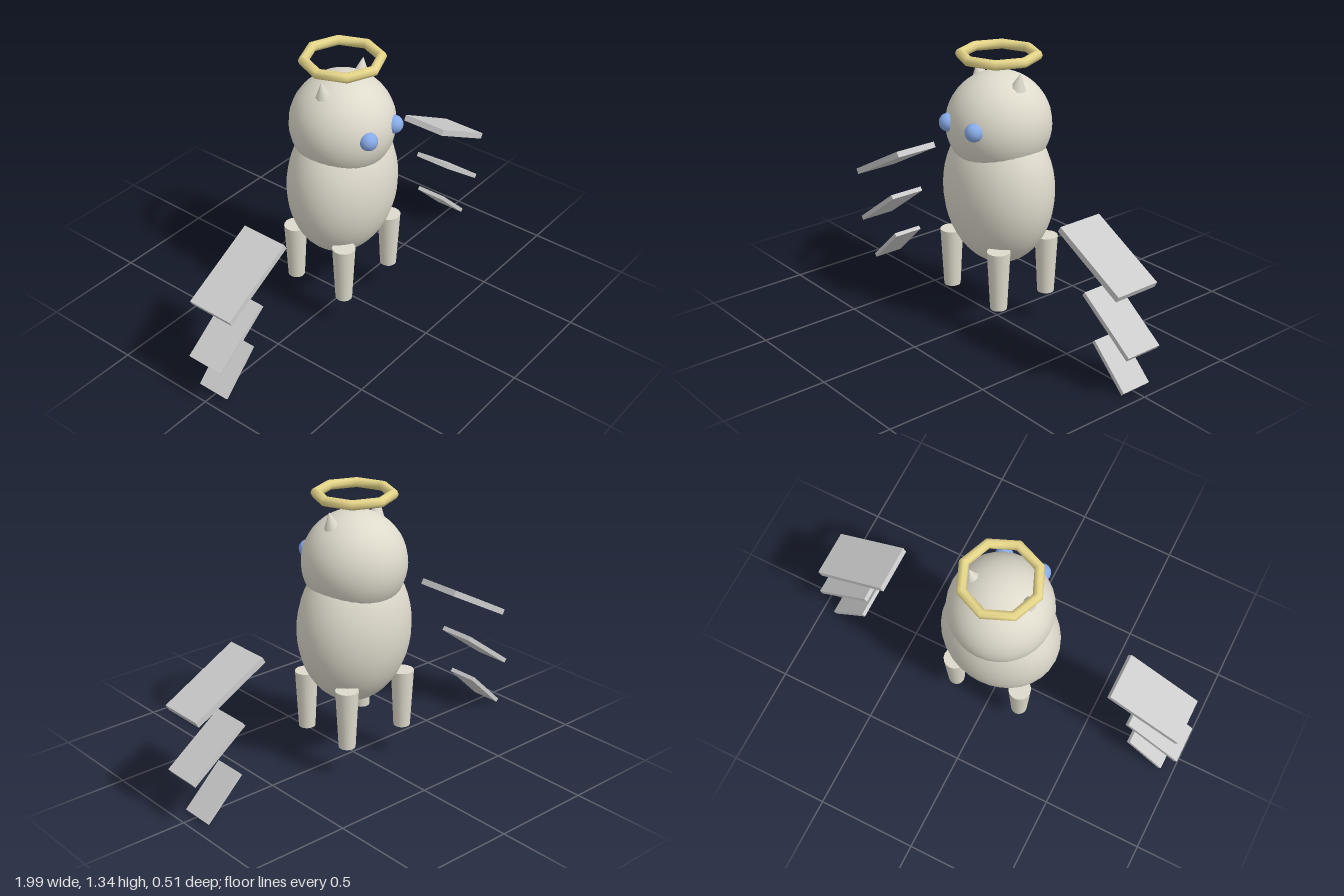
import * as THREE from 'three';

const mat = (color) => new THREE.MeshStandardMaterial({ color });

export function createModel() {
  const model = new THREE.Group();
  const fur = mat(0xdedacc), wingGrey = mat(0xcccccc);
  const blue = mat(0x88abe8), gold = mat(0xe6d68a);
  const Z = -0.01; // centre line of the animal

  const add = (name, geometry, material, x, y, z) => {
    const mesh = new THREE.Mesh(geometry, material);
    mesh.name = name;
    mesh.position.set(x, y, z);
    model.add(mesh);
    return mesh;
  };

  // egg-shaped body and round head
  add('body', new THREE.SphereGeometry(1, 32, 24), fur, 0, 0.675, Z).scale.set(0.29, 0.37, 0.243);
  add('head', new THREE.SphereGeometry(0.247, 32, 24), fur, 0, 0.995, Z);

  // halo: eight-sided ring
  add('halo', new THREE.TorusGeometry(0.175, 0.024, 8, 8), gold, 0, 1.32, Z).rotation.x = Math.PI / 2;

  const eyeGeo = new THREE.SphereGeometry(0.043, 16, 12);
  const earGeo = new THREE.ConeGeometry(0.038, 0.08, 8);
  const legGeo = new THREE.CylinderGeometry(0.055, 0.04, 0.29, 16);

  // feather slabs: x, y, z, length, thickness, width, droop in degrees
  const feathers = [
    [0.774, 0.602, 0.031, 0.415, 0.03, 0.23, 28.5],
    [0.85, 0.321, 0.011, 0.348, 0.023, 0.187, 36.5],
    [0.838, 0.1, -0.011, 0.264, 0.02, 0.157, 44],
  ];

  for (const [side, s] of [['left', 1], ['right', -1]]) {
    add(side + 'Eye', eyeGeo, blue, s * 0.094, 1.02, 0.212);

    // ears lean outward
    add(side + 'Ear', earGeo, fur, s * 0.142, 1.226, Z).rotation.z = -s * 0.22;

    // tapered legs
    add(side + 'FrontLeg', legGeo, fur, s * 0.175, 0.3, Z + 0.147);
    add(side + 'BackLeg', legGeo, fur, s * 0.175, 0.3, Z - 0.147);

    // floating wing of three drooping slabs
    feathers.forEach(([x, y, z, length, thick, width, droop], i) => {
      const slab = add(side + 'WingFeather' + (i + 1), new THREE.BoxGeometry(length, thick, width), wingGrey, s * x, y, z);
      slab.rotation.z = -s * THREE.MathUtils.degToRad(droop);
    });
  }
  return model;
}
